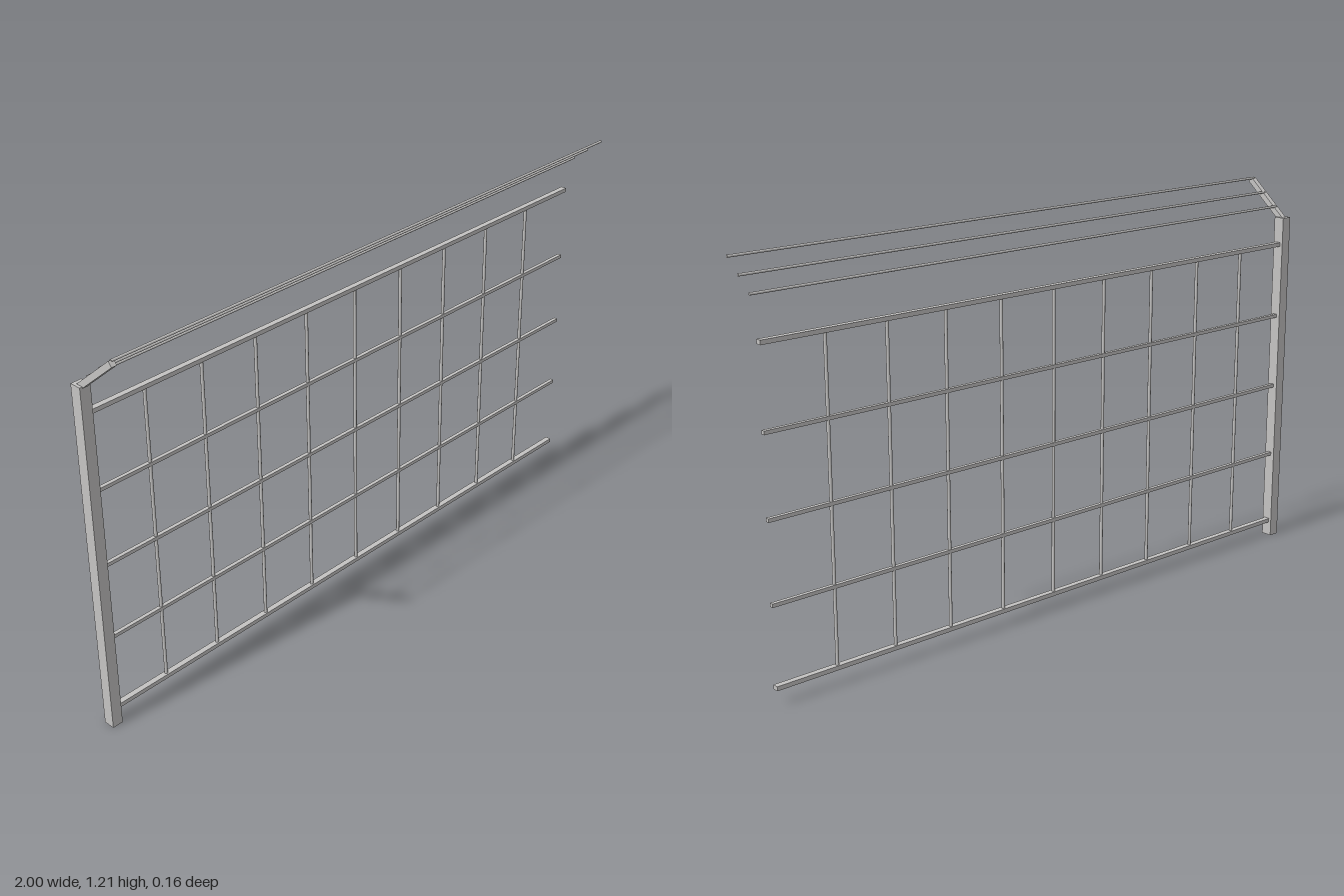
import * as THREE from 'three';

export function createModel() {
  const model = new THREE.Group();
  model.name = 'fencePanel';
  const steel = new THREE.MeshStandardMaterial({ color: 0xc4c3c2 });
  steel.name = 'galvanised steel';

  const postX = -0.983, fenceZ = -0.0628, endX = 1;

  function add(name, geometry, x, y, z) {
    const mesh = new THREE.Mesh(geometry, steel);
    mesh.name = name;
    mesh.position.set(x, y, z);
    model.add(mesh);
    return mesh;
  }

  // Square post at the model's right end
  add('post', new THREE.BoxGeometry(0.034, 1.09, 0.036), postX, 0.545, fenceZ);

  // Horizontal rails: wide at top and bottom, thin between
  const railStart = -0.967, railLength = endX - railStart;
  for (let i = 0; i < 5; i++) {
    const outer = i === 0 || i === 4;
    add(outer ? 'mainRail' : 'thinRail',
      new THREE.BoxGeometry(railLength, outer ? 0.013 : 0.011, outer ? 0.018 : 0.012),
      (railStart + endX) / 2, 0.052 + i * 0.2378, fenceZ);
  }

  // Evenly spaced round upright bars
  for (let i = 1; i <= 9; i++) {
    add('uprightBar', new THREE.CylinderGeometry(0.005, 0.005, 0.951, 16),
      -0.982 + i * 0.198, 0.5275, fenceZ);
  }

  // Arm leaning forward from the top of the post
  const armAngle = THREE.MathUtils.degToRad(40), armLength = 0.179;
  const foot = new THREE.Vector2(fenceZ, 1.0825);
  const dir = new THREE.Vector2(Math.cos(armAngle), Math.sin(armAngle));
  const arm = add('slantedArm', new THREE.BoxGeometry(0.017, 0.018, armLength), postX,
    foot.y + dir.y * armLength / 2, foot.x + dir.x * armLength / 2);
  arm.rotation.x = -armAngle;

  // Three round wires resting on the arm's upper face
  const wireLength = endX - postX;
  for (let i = 0; i < 3; i++) {
    const wire = add('wire', new THREE.CylinderGeometry(0.004, 0.004, wireLength, 16),
      (postX + endX) / 2, 1.121 + i * 0.0405, -0.031 + i * 0.0495);
    wire.rotation.z = Math.PI / 2;
  }

  return model;
}
